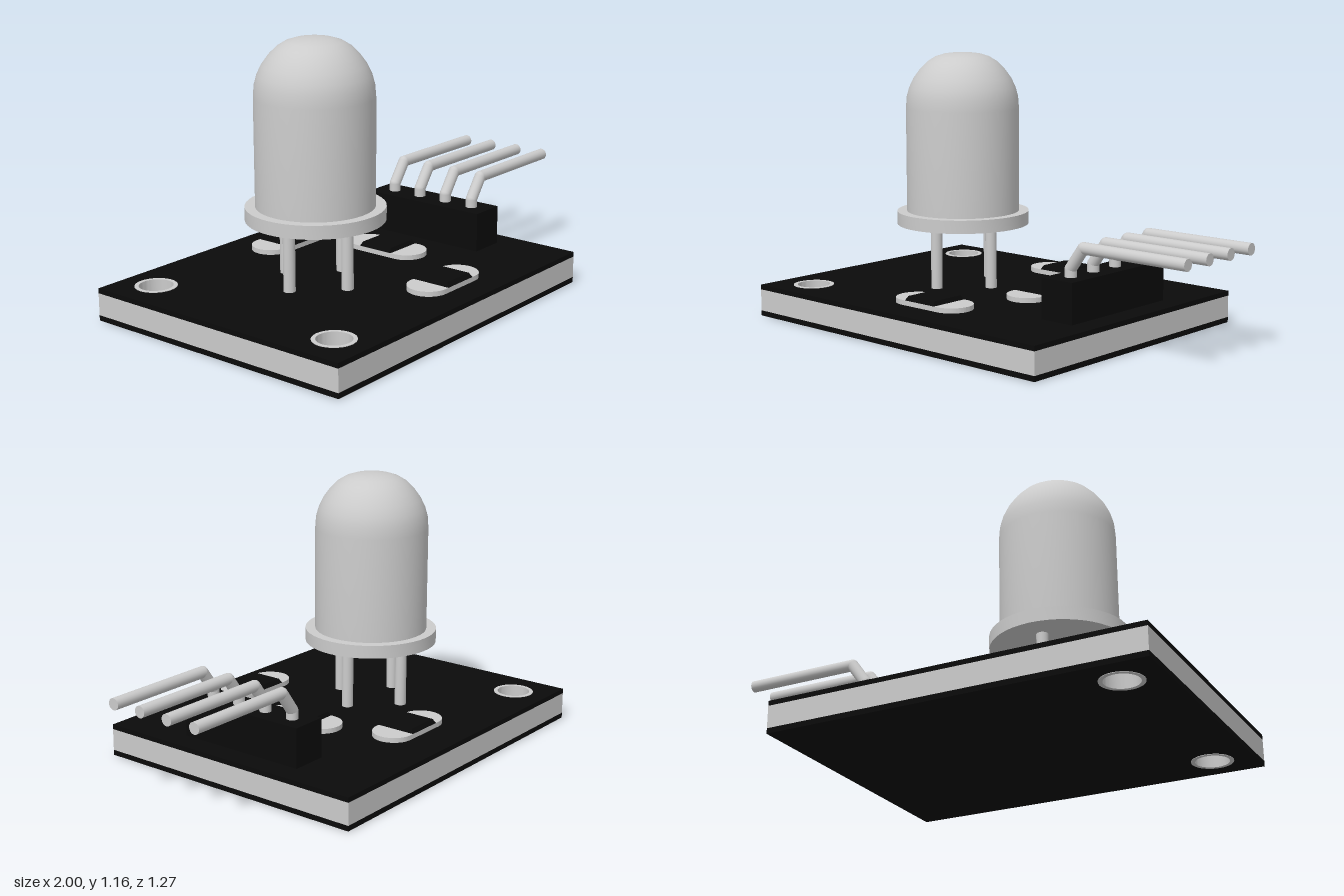
import * as THREE from 'three';
import { toCreasedNormals } from 'three/addons/utils/BufferGeometryUtils.js';

const grey = new THREE.MeshStandardMaterial({ color: 0xcccccc });
const black = new THREE.MeshStandardMaterial({ color: 0x0a0a0a });

function add(parent, name, geometry, material, x = 0, y = 0, z = 0) {
  const mesh = new THREE.Mesh(geometry, material);
  mesh.name = name;
  mesh.position.set(x, y, z);
  parent.add(mesh);
  return mesh;
}

// Flat outline extruded upwards from y = 0
function slab(shape, height) {
  const g = new THREE.ExtrudeGeometry(shape, { depth: height, bevelEnabled: false, curveSegments: 32 });
  return toCreasedNormals(g.rotateX(-Math.PI / 2), 0.6);
}

function circle(path, x, y, r) {
  path.absarc(x, y, r, 0, Math.PI * 2, false);
  return path;
}

// Round rod between two points
function rod(parent, name, a, b, r) {
  const dir = b.clone().sub(a);
  const mesh = add(parent, name, new THREE.CylinderGeometry(r, r, dir.length(), 20), grey);
  mesh.position.copy(a).add(b).multiplyScalar(0.5);
  mesh.quaternion.setFromUnitVectors(new THREE.Vector3(0, 1, 0), dir.normalize());
}

// Surface-mount resistor: rounded pad with a tapered black body
function resistor(name, x, z, turn) {
  const part = new THREE.Group();
  part.name = name;
  const r = 0.088, half = 0.102;
  const outline = new THREE.Shape();
  outline.absarc(half, 0, r, -Math.PI / 2, Math.PI / 2, false);
  outline.absarc(-half, 0, r, Math.PI / 2, Math.PI * 1.5, false);
  outline.closePath();
  add(part, 'solderPad', slab(outline, 0.021), grey, 0, 0.155, 0);

  const body = new THREE.BoxGeometry(0.168, 0.018, 2 * r);
  const p = body.attributes.position;
  for (let i = 0; i < p.count; i++) {
    if (p.getY(i) > 0) p.setXYZ(i, p.getX(i) * 0.9, p.getY(i), p.getZ(i) * 0.86);
  }
  const flat = body.toNonIndexed();
  flat.computeVertexNormals();
  add(part, 'resistorBody', flat, black, 0, 0.185, 0);
  part.position.set(x, 0, z);
  part.rotation.y = turn;
  return part;
}

export function createModel() {
  const model = new THREE.Group();
  model.name = 'ledModule';

  // Layered circuit board with two mounting holes
  const holes = [-0.475, 0.475];
  const outline = new THREE.Shape([
    new THREE.Vector2(-1, -0.635), new THREE.Vector2(0.61, -0.635),
    new THREE.Vector2(0.61, 0.635), new THREE.Vector2(-1, 0.635),
  ]);
  for (const z of holes) outline.holes.push(circle(new THREE.Path(), -0.83, z, 0.086));
  const board = new THREE.Group();
  board.name = 'circuitBoard';
  add(board, 'bottomLayer', slab(outline, 0.023), black, 0, 0.002, 0);
  add(board, 'boardCore', slab(outline, 0.095), grey, 0, 0.025, 0);
  add(board, 'topLayer', slab(outline, 0.021), black, 0, 0.12, 0);
  model.add(board);

  // Metal sleeves lining the holes
  const ring = circle(new THREE.Shape(), 0, 0, 0.088);
  ring.holes.push(circle(new THREE.Path(), 0, 0, 0.071));
  for (const z of holes) add(board, 'holeSleeve', slab(ring, 0.143), grey, -0.83, 0, z);

  // LED: flange, straight wall and dome in one turned profile
  const led = new THREE.Group();
  led.name = 'led';
  const flange = [[0, 0.41], [0.29, 0.41], [0.29, 0.467], [0.247, 0.467], [0.247, 0.92]];
  const dome = [[0.243, 0.97], [0.232, 1.01], [0.213, 1.05], [0.184, 1.09],
    [0.152, 1.122], [0.118, 1.143], [0.08, 1.155], [0.04, 1.16], [0, 1.161]];
  const profile = [...flange, ...dome].map(([r, y]) => new THREE.Vector2(r, y));
  add(led, 'lens', toCreasedNormals(new THREE.LatheGeometry(profile, 48), 0.7), grey);

  // Four LED legs in a cross
  for (let i = 0; i < 4; i++) {
    const a = i * Math.PI / 2;
    add(led, 'ledLeg', new THREE.CylinderGeometry(0.025, 0.025, 0.3, 20), grey,
      0.167 * Math.cos(a), 0.27, 0.167 * Math.sin(a));
  }
  led.position.set(-0.373, 0, -0.003);
  model.add(led);

  // Resistors
  model.add(resistor('backResistor', -0.104, -0.4, 0));
  model.add(resistor('frontResistor', -0.104, 0.447, 0));
  model.add(resistor('middleResistor', 0.102, 0, Math.PI / 2));

  // Pin header with four bent pins
  const header = new THREE.Group();
  header.name = 'pinHeader';
  add(header, 'headerBlock', new THREE.BoxGeometry(0.158, 0.171, 0.598), black, 0.43, 0.2255, 0);
  const r = 0.025;
  for (let i = 0; i < 4; i++) {
    const z = 0.212 - i * 0.1415;
    const path = [[0.43, 0.25], [0.43, 0.345], [0.495, 0.435], [1, 0.435]]
      .map(([x, y]) => new THREE.Vector3(x, y, z));
    for (let k = 0; k < 3; k++) rod(header, 'pin', path[k], path[k + 1], r);
    for (const p of path.slice(1, 3)) {
      add(header, 'pinBend', new THREE.SphereGeometry(r, 20, 14), grey, p.x, p.y, p.z);
    }
  }
  model.add(header);

  return model;
}
